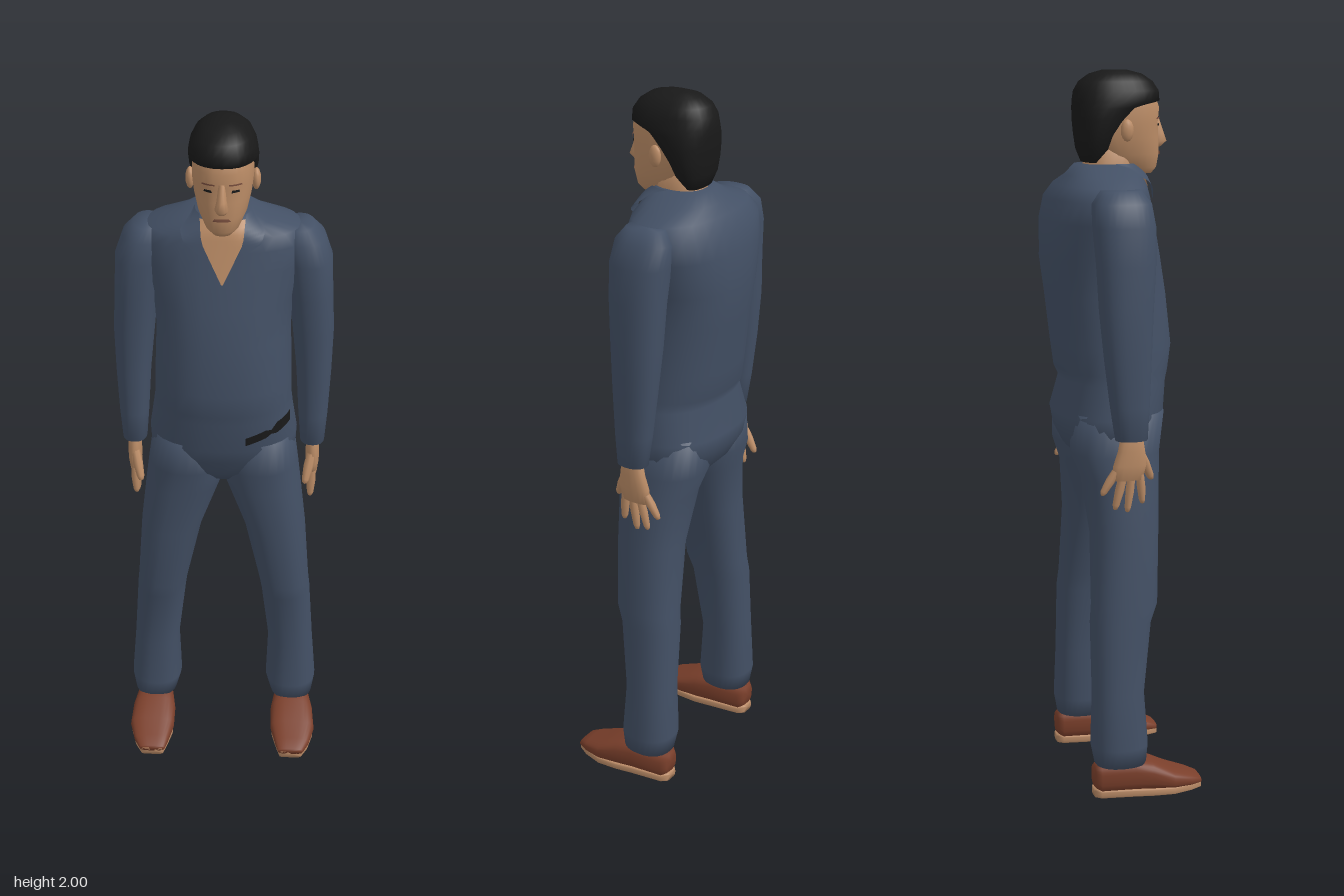
import * as THREE from 'three';

const mat = (name, color) => new THREE.MeshStandardMaterial({ name, color, side: THREE.DoubleSide });

// Superellipse loft; each ring is [y, x0, x1, z0, z1], rising in y
function loft(rings, p = 2.3, n = 28) {
  const pos = [], idx = [];
  const bend = v => Math.sign(v) * Math.pow(Math.abs(v), 2 / p);
  for (const [y, x0, x1, z0, z1] of rings) {
    for (let j = 0; j < n; j++) {
      const a = j / n * Math.PI * 2;
      pos.push((x0 + x1) / 2 + (x1 - x0) / 2 * bend(Math.cos(a)), y,
        (z0 + z1) / 2 + (z1 - z0) / 2 * bend(Math.sin(a)));
    }
  }
  for (let i = 0; i < rings.length - 1; i++) {
    for (let j = 0; j < n; j++) {
      const a = i * n + j, b = i * n + (j + 1) % n;
      idx.push(a, a + n, b, b, a + n, b + n);
    }
  }
  // end caps
  const last = (rings.length - 1) * n, c = rings.length * n;
  for (const [y, x0, x1, z0, z1] of [rings[0], rings.at(-1)]) pos.push((x0 + x1) / 2, y, (z0 + z1) / 2);
  for (let j = 0; j < n; j++) {
    const k = (j + 1) % n;
    idx.push(c, j, k, c + 1, last + k, last + j);
  }
  const g = new THREE.BufferGeometry();
  g.setAttribute('position', new THREE.Float32BufferAttribute(pos, 3));
  g.setIndex(idx);
  g.computeVertexNormals();
  return g;
}

// Front surface depth of a loft at (x, y)
function frontZ(rings, x, y, p = 2.3) {
  let i = 0;
  while (i < rings.length - 2 && rings[i + 1][0] < y) i++;
  const A = rings[i], B = rings[i + 1];
  const t = THREE.MathUtils.clamp((y - A[0]) / (B[0] - A[0]), 0, 1);
  const [, x0, x1, z0, z1] = A.map((v, k) => v + (B[k] - v) * t);
  const u = Math.min(1, Math.abs((x - (x0 + x1) / 2) / ((x1 - x0) / 2)));
  return (z0 + z1) / 2 + (z1 - z0) / 2 * Math.pow(1 - Math.pow(u, p), 1 / p);
}

// Thin patch laid over a loft's front; rows are [xa, ya, xb, yb]
function patch(rings, rows, lift, steps = 8) {
  const pos = [], idx = [], w = steps + 1, sub = 4;
  const fine = [];
  rows.forEach((r, i) => {
    if (i) for (let s = 1; s <= sub; s++) fine.push(r.map((v, k) => rows[i - 1][k] + (v - rows[i - 1][k]) * s / sub));
    else fine.push(r);
  });
  fine.forEach(([xa, ya, xb, yb], i) => {
    for (let j = 0; j <= steps; j++) {
      const t = j / steps, x = xa + (xb - xa) * t, y = ya + (yb - ya) * t;
      pos.push(x, y, frontZ(rings, x, y) + lift);
      if (i && j) {
        const a = (i - 1) * w + j - 1, b = i * w + j - 1;
        idx.push(a, b, a + 1, a + 1, b, b + 1);
      }
    }
  });
  const g = new THREE.BufferGeometry();
  g.setAttribute('position', new THREE.Float32BufferAttribute(pos, 3));
  g.setIndex(idx);
  g.computeVertexNormals();
  return g;
}

// Tapered finger between two points
function finger(a, b, r) {
  const A = new THREE.Vector3(...a), B = new THREE.Vector3(...b), d = B.clone().sub(A);
  const prof = [[0.9, 0], [1, 0.4], [0.75, 0.85], [0.45, 0.97], [0, 1]];
  const g = new THREE.LatheGeometry(prof.map(([w, t]) => new THREE.Vector2(w * r, t * d.length())), 8);
  g.applyQuaternion(new THREE.Quaternion().setFromUnitVectors(new THREE.Vector3(0, 1, 0), d.normalize()));
  return g.translate(...a);
}

const sym = rings => rings.map(([y, w, z0, z1]) => [y, -w, w, z0, z1]);
const sided = (s, rings) => s > 0 ? rings : rings.map(([y, x0, x1, z0, z1]) => [y, -x1, -x0, z0, z1]);
// Sections along z, written [z, x0, x1, y0, y1]
const loftZ = (s, secs, p) =>
  loft(sided(s, secs.map(([z, x0, x1, y0, y1]) => [z, x0, x1, -y1, -y0])), p).rotateX(Math.PI / 2);

const TORSO = sym([
  [0.93, 0.10, -0.09, 0.06], [0.97, 0.17, -0.13, 0.095], [1.02, 0.203, -0.155, 0.115], [1.07, 0.205, -0.165, 0.135],
  [1.16, 0.192, -0.14, 0.142], [1.19, 0.188, -0.155, 0.15], [1.26, 0.187, -0.165, 0.16],
  [1.4, 0.182, -0.182, 0.145], [1.5, 0.19, -0.195, 0.128], [1.6, 0.22, -0.19, 0.105],
  [1.66, 0.228, -0.175, 0.092], [1.695, 0.2, -0.15, 0.085], [1.72, 0.125, -0.125, 0.08],
  [1.75, 0.075, -0.1, 0.06]]);
const HEAD = sym([
  [1.722, 0.028, 0.04, 0.115], [1.738, 0.045, 0.0, 0.128], [1.775, 0.064, -0.06, 0.134],
  [1.82, 0.075, -0.085, 0.132], [1.86, 0.08, -0.095, 0.13], [1.9, 0.08, -0.095, 0.134],
  [1.94, 0.074, -0.09, 0.12], [1.975, 0.05, -0.06, 0.09]]);
const NECK = sym([[1.62, 0.06, -0.07, 0.06], [1.72, 0.06, -0.078, 0.055], [1.8, 0.062, -0.075, 0.085]]);
const HAIR = sym([
  [1.755, 0.05, -0.08, -0.04], [1.79, 0.073, -0.094, -0.01], [1.83, 0.084, -0.1, 0.012],
  [1.87, 0.09, -0.105, 0.05], [1.9, 0.091, -0.106, 0.085], [1.918, 0.09, -0.106, 0.134],
  [1.945, 0.085, -0.102, 0.132], [1.97, 0.073, -0.088, 0.115], [1.99, 0.052, -0.06, 0.085],
  [2.0, 0.022, -0.025, 0.045]]);
const NOSE = sym([[1.793, 0.012, 0.115, 0.142], [1.808, 0.018, 0.115, 0.16], [1.83, 0.013, 0.115, 0.152],
  [1.872, 0.008, 0.115, 0.137]]);
const ARM = [
  [1.03, 0.215, 0.283, -0.058, 0.03], [1.12, 0.208, 0.29, -0.072, 0.035], [1.25, 0.2, 0.296, -0.088, 0.04],
  [1.38, 0.187, 0.299, -0.1, 0.046], [1.5, 0.175, 0.293, -0.105, 0.055], [1.6, 0.16, 0.289, -0.112, 0.057],
  [1.66, 0.15, 0.268, -0.112, 0.05], [1.693, 0.165, 0.238, -0.085, 0.025]];
const LEG = [
  [0.095, 0.145, 0.272, -0.105, 0.04], [0.15, 0.13, 0.28, -0.115, 0.045], [0.3, 0.135, 0.268, -0.11, 0.035],
  [0.5, 0.112, 0.255, -0.11, 0.06], [0.55, 0.105, 0.25, -0.105, 0.08], [0.75, 0.062, 0.236, -0.1, 0.09],
  [0.9, 0.008, 0.219, -0.115, 0.1], [0.97, -0.01, 0.21, -0.14, 0.105], [1.08, 0, 0.195, -0.14, 0.12]];
const PALM = [[0.92, 0.236, 0.266, -0.068, 0.018], [0.96, 0.232, 0.27, -0.066, 0.028],
  [1.0, 0.232, 0.27, -0.052, 0.024], [1.06, 0.232, 0.268, -0.04, 0.014]];
const SHOE = [
  [-0.11, 0.185, 0.235, 0.03, 0.09], [-0.095, 0.17, 0.25, 0.012, 0.1], [0, 0.155, 0.265, 0.012, 0.108],
  [0.05, 0.147, 0.275, 0.012, 0.1], [0.11, 0.148, 0.28, 0.012, 0.07], [0.165, 0.162, 0.265, 0.012, 0.05],
  [0.197, 0.172, 0.247, 0.014, 0.034]];
const FINGERS = [ // start y, z then tip y, z
  [0.935, 0.01, 0.85, 0.018], [0.93, -0.014, 0.828, -0.025], [0.93, -0.038, 0.837, -0.06], [0.945, -0.058, 0.88, -0.097]];

export function createModel() {
  const model = new THREE.Group();
  const cloth = mat('blue cloth', 0x435065), skin = mat('skin', 0xbb8c66), hair = mat('black hair', 0x191919),
    leather = mat('brown leather', 0x7a3f2b), sole = mat('tan sole', 0xb98a66), lips = mat('lips', 0x7d5140);
  const add = (name, geo, m, parent = model) => {
    const mesh = new THREE.Mesh(geo, m);
    mesh.name = name;
    parent.add(mesh);
    return mesh;
  };

  // Body, open neck and belt piece
  add('torso', loft(TORSO), cloth);
  add('neck', loft(NECK), skin);
  add('neckOpening', patch(TORSO, [[-0.066, 1.742, 0.066, 1.742], [-0.05, 1.68, 0.05, 1.68], [-0.002, 1.58, 0.002, 1.58]], 0.006, 12), skin);
  add('beltPiece', patch(TORSO, [[0.065, 1.095, 0.065, 1.12], [0.12, 1.112, 0.12, 1.138],
    [0.135, 1.122, 0.135, 1.135], [0.15, 1.12, 0.15, 1.155], [0.185, 1.135, 0.185, 1.165]], 0.006), hair);

  // Head
  const head = new THREE.Group();
  head.name = 'head';
  model.add(head);
  add('face', loft(HEAD), skin, head);
  add('hair', loft(HAIR), hair, head);
  add('nose', loft(NOSE, 2, 12), skin, head);
  add('mouth', patch(HEAD, [[-0.024, 1.773, 0.024, 1.773], [-0.018, 1.781, 0.018, 1.781]], 0.004), lips, head);

  for (const s of [1, -1]) {
    const side = s > 0 ? 'left' : 'right';
    const part = (name, geo, m, parent) => add(side + name, geo, m, parent);

    // Face details
    part('Eye', patch(HEAD, [[s * 0.024, 1.851, s * 0.046, 1.851], [s * 0.027, 1.858, s * 0.044, 1.857]], 0.004), hair, head);
    part('Brow', patch(HEAD, [[s * 0.018, 1.871, s * 0.052, 1.869], [s * 0.018, 1.875, s * 0.05, 1.874]], 0.004), lips, head);
    part('Ear', new THREE.SphereGeometry(1, 10, 8).scale(0.012, 0.03, 0.018).translate(s * 0.085, 1.842, 0.022), skin, head);

    // Collar flap
    part('Collar', patch(TORSO, [[s * 0.06, 1.752, s * 0.075, 1.752], [s * 0.056, 1.715, s * 0.11, 1.715],
      [s * 0.052, 1.675, s * 0.1, 1.688], [s * 0.045, 1.655, s * 0.06, 1.662]], 0.014), cloth);

    // Arm and hand
    part('Sleeve', loft(sided(s, ARM)), cloth);
    const hand = new THREE.Group();
    hand.name = side + 'Hand';
    model.add(hand);
    part('Palm', loft(sided(s, PALM), 2.3, 16), skin, hand);
    FINGERS.forEach(([y0, z0, y1, z1], i) =>
      part('Finger' + (i + 1), finger([s * 0.251, y0, z0], [s * 0.247, y1, z1], 0.0125), skin, hand));
    part('Thumb', finger([s * 0.248, 0.99, 0.012], [s * 0.23, 0.912, 0.05], 0.014), skin, hand);

    // Leg and shoe
    part('TrouserLeg', loft(sided(s, LEG)), cloth);
    part('Shoe', loftZ(s, SHOE, 2.8), leather);
    part('Sole', loftZ(s, SHOE.map(([z, x0, x1]) => [z, x0 + 0.004, x1 - 0.004, 0, 0.026]), 5), sole);
  }
  return model;
}
